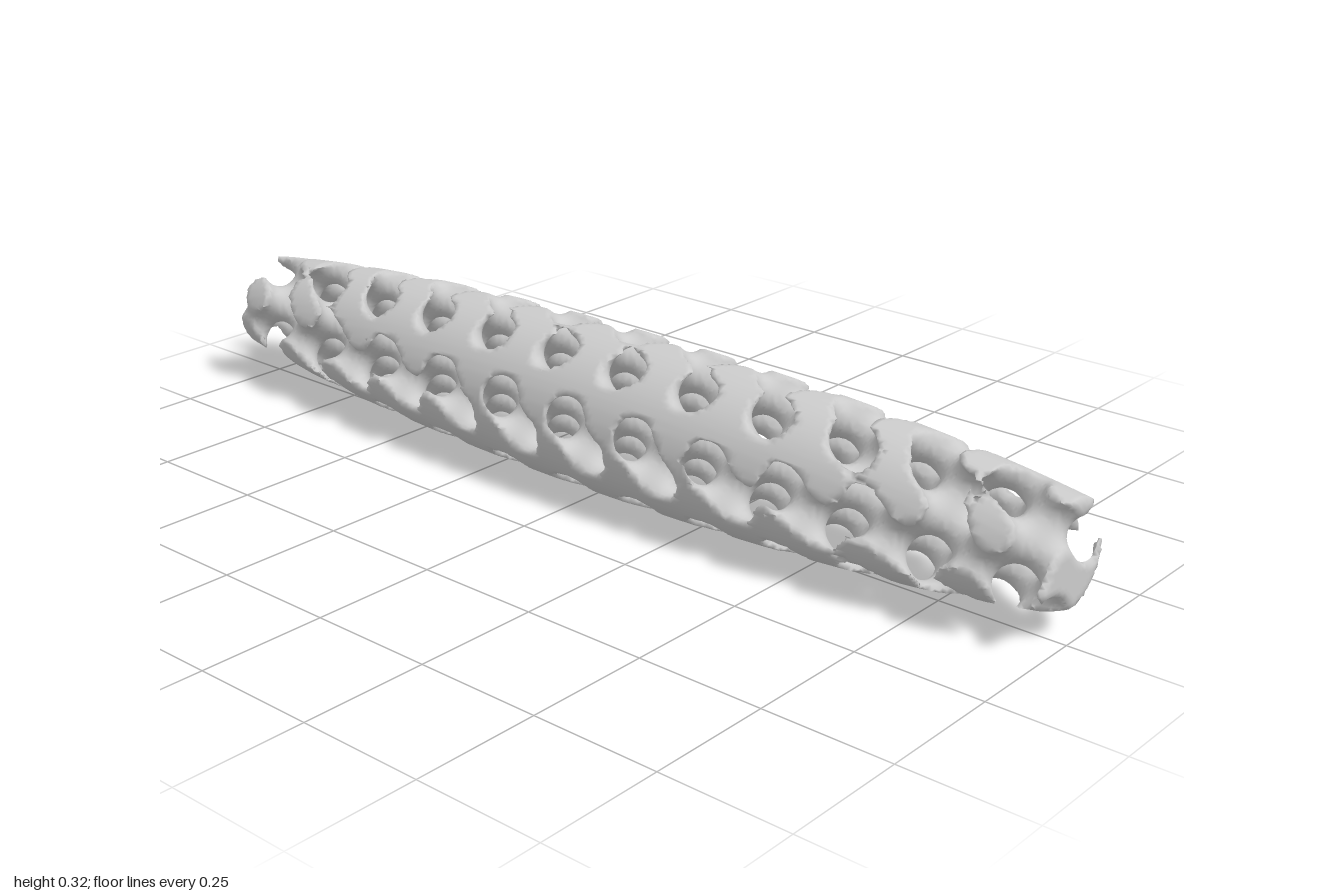
import * as THREE from 'three';

const PERIOD = 0.1675;              // length of one lattice cell
const K = (2 * Math.PI) / PERIOD;
const LEVEL = 0.15;                 // shifts the balance of solid and void
const RADIUS = 0.161, HALF = 1;
const STEP = 0.0094;                // sampling distance

// Radius of the barrel envelope, tapering toward both ends
const envelope = (x) => RADIUS * Math.sqrt(Math.max(0, 1 - (x / 1.28) ** 2));

// Gyroid network: negative inside the material
function gyroid(x, y, z) {
  const X = K * x, Y = K * y, Z = K * z;
  const g = Math.cos(Y) * Math.sin(Z) - Math.cos(X) * Math.sin(Y) - Math.cos(Z) * Math.sin(X);
  return (LEVEL - g) / (K * 1.3);
}

// Network trimmed by the barrel and the flat ends
const field = (x, y, z) =>
  Math.max(gyroid(x, y, z), Math.hypot(y, z) - envelope(x), Math.abs(x) - HALF);

// Turns the field into a quad mesh: one vertex per mixed cell, one quad per crossed edge
function surfaceNet(f, half, step) {
  const n = half.map((h) => Math.ceil((2 * h) / step) + 3);
  const start = n.map((c) => (-(c - 1) * step) / 2);
  const stride = [1, n[0], n[0] * n[1]];
  const at = (i, j, k) => i + j * stride[1] + k * stride[2];
  const values = new Float32Array(n[0] * n[1] * n[2]);
  for (let k = 0; k < n[2]; k++)
    for (let j = 0; j < n[1]; j++)
      for (let i = 0; i < n[0]; i++)
        values[at(i, j, k)] = f(start[0] + i * step, start[1] + j * step, start[2] + k * step);

  const cellVertex = new Int32Array(values.length).fill(-1);
  const positions = [], index = [];
  const corner = (c) => (c & 1) + ((c >> 1) & 1) * stride[1] + ((c >> 2) & 1) * stride[2];

  for (let k = 0; k < n[2] - 1; k++)
    for (let j = 0; j < n[1] - 1; j++)
      for (let i = 0; i < n[0] - 1; i++) {
        const base = at(i, j, k), sum = [0, 0, 0];
        let count = 0;
        for (let c = 0; c < 8; c++)
          for (let a = 0; a < 3; a++) {
            if (c & (1 << a)) continue;
            const v0 = values[base + corner(c)], v1 = values[base + corner(c | (1 << a))];
            if (v0 < 0 === v1 < 0) continue;
            for (let d = 0; d < 3; d++) sum[d] += d === a ? v0 / (v0 - v1) : (c >> d) & 1;
            count++;
          }
        if (!count) continue;
        cellVertex[base] = positions.length / 3;
        [i, j, k].forEach((g, d) => positions.push(start[d] + (g + sum[d] / count) * step));
      }

  for (let k = 1; k < n[2] - 1; k++)
    for (let j = 1; j < n[1] - 1; j++)
      for (let i = 1; i < n[0] - 1; i++) {
        const p = at(i, j, k);
        for (let a = 0; a < 3; a++) {
          const inside = values[p] < 0;
          if (inside === values[p + stride[a]] < 0) continue;
          const b = stride[(a + 1) % 3], c = stride[(a + 2) % 3];
          const q = [p, p - b, p - b - c, p - c].map((s) => cellVertex[s]);
          if (!inside) q.reverse();
          index.push(q[0], q[1], q[2], q[0], q[2], q[3]);
        }
      }
  return { positions, index };
}

// Pulls each vertex onto the exact surface
function settle(positions, f) {
  const e = 0.0005;
  for (let v = 0; v < positions.length; v += 3)
    for (let pass = 0; pass < 3; pass++) {
      const [x, y, z] = positions.slice(v, v + 3);
      const d = f(x, y, z);
      const g = [
        f(x + e, y, z) - f(x - e, y, z),
        f(x, y + e, z) - f(x, y - e, z),
        f(x, y, z + e) - f(x, y, z - e),
      ].map((s) => s / (2 * e));
      const len2 = Math.max(0.2, g[0] ** 2 + g[1] ** 2 + g[2] ** 2);
      const move = THREE.MathUtils.clamp(d / len2, -STEP * 0.3, STEP * 0.3);
      for (let a = 0; a < 3; a++) positions[v + a] -= g[a] * move;
    }
}

export function createModel() {
  const group = new THREE.Group();
  group.name = 'latticeBar';

  const { positions, index } = surfaceNet(field, [HALF, RADIUS, RADIUS], STEP);
  settle(positions, field);

  const geometry = new THREE.BufferGeometry();
  geometry.setAttribute('position', new THREE.Float32BufferAttribute(positions, 3));
  geometry.setIndex(index);
  geometry.computeVertexNormals();

  // Porous barrel-shaped body
  const body = new THREE.Mesh(geometry, new THREE.MeshStandardMaterial({ color: 0xcccccc }));
  body.name = 'gyroidBody';
  body.position.y = RADIUS;
  group.add(body);
  return group;
}
